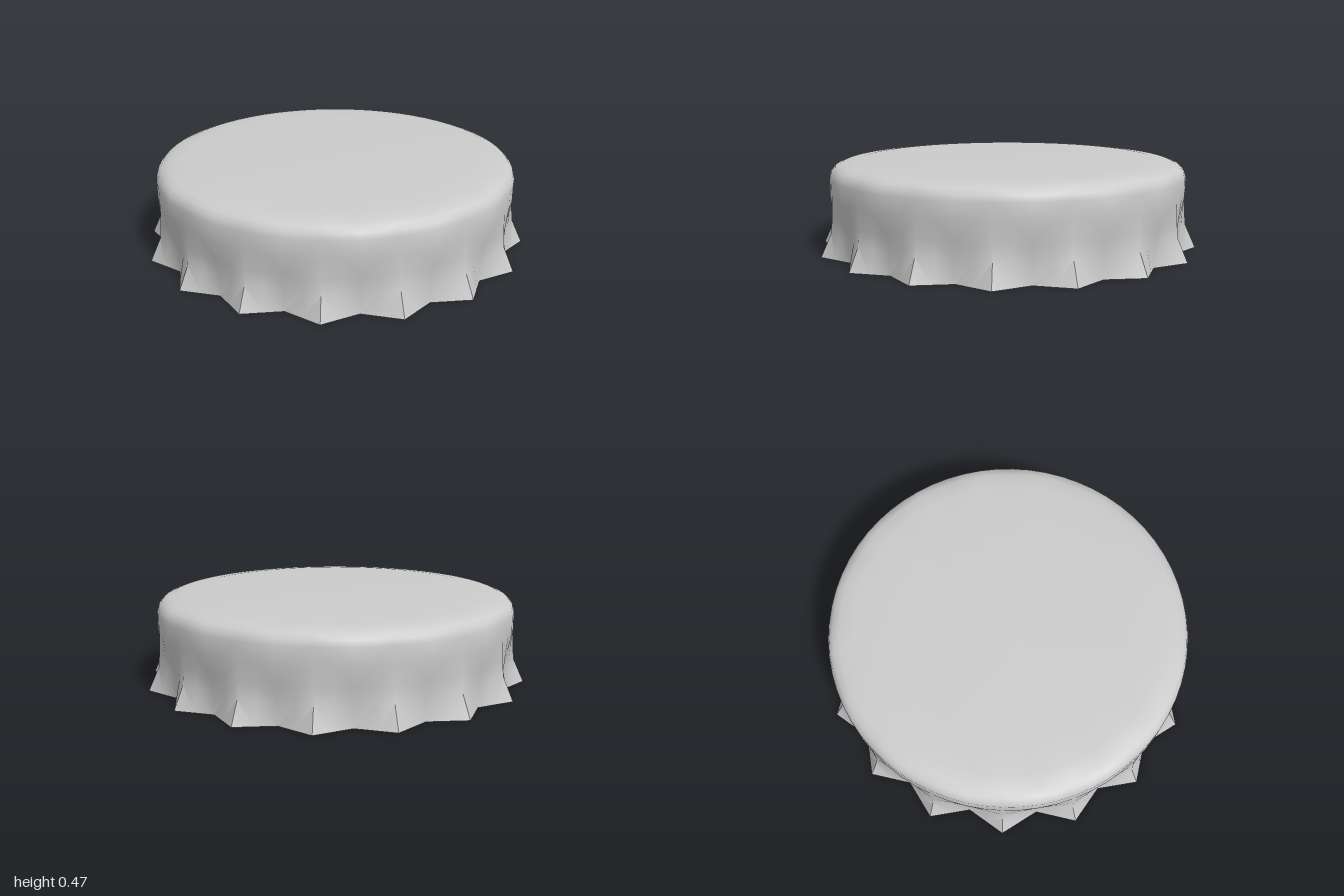
import * as THREE from 'three';
import { toCreasedNormals } from 'three/addons/utils/BufferGeometryUtils.js';

const TEETH = 16;
const COLS = TEETH * 4;

// Rows from the rim upwards: [height, radius on a ridge, radius in a valley]
const ROWS = [
  [0, 1, 0.9],
  [0.12, 0.946, 0.9],
  [0.2, 0.939, 0.917],
  [0.3, 0.936, 0.936],
  [0.39, 0.937, 0.937],
  [0.42, 0.928, 0.928],
  [0.443, 0.907, 0.907],
  [0.457, 0.87, 0.87],
  [0.466, 0.79, 0.79],
  [0.469, 0.6, 0.6],
];

// Point on a row; folded rows run straight from ridge to valley
function rowPoint([y, ridge, valley], col) {
  const step = (Math.PI * 2) / COLS;
  const at = (r, c) => new THREE.Vector3(Math.sin(c * step) * r, y, Math.cos(c * step) * r);
  if (ridge === valley) return at(ridge, col);
  const start = Math.floor(col / 2) * 2;
  const radius = (c) => (c % 4 === 0 ? ridge : valley);
  return at(radius(start), start).lerp(at(radius(start + 2), start + 2), (col - start) / 2);
}

function capGeometry() {
  const positions = [];
  const index = [];
  for (const row of ROWS) {
    for (let c = 0; c < COLS; c++) positions.push(...rowPoint(row, c).toArray());
  }
  const centre = positions.length / 3;
  positions.push(0, 0.47, 0);

  for (let c = 0; c < COLS; c++) {
    const n = (c + 1) % COLS;
    for (let r = 0; r < ROWS.length - 1; r++) {
      const a = r * COLS + c, b = r * COLS + n;
      const d = a + COLS, e = b + COLS;
      // mirror the diagonals on either side of each ridge
      if (c % 4 < 2) index.push(a, b, d, b, e, d);
      else index.push(a, b, e, a, e, d);
    }
    const top = (ROWS.length - 1) * COLS;
    index.push(top + c, top + n, centre);
  }
  const geometry = new THREE.BufferGeometry();
  geometry.setAttribute('position', new THREE.Float32BufferAttribute(positions, 3));
  geometry.setIndex(index);
  // ridges stay sharp, valleys and shoulder stay smooth
  return toCreasedNormals(geometry, 0.77);
}

export function createModel() {
  const metal = new THREE.MeshStandardMaterial({ color: 0xcccccc, side: THREE.DoubleSide });
  metal.name = 'bare metal';

  // Thin open shell: flat top, rounded shoulder and crimped skirt
  const cap = new THREE.Mesh(capGeometry(), metal);
  cap.name = 'crimpedCapShell';

  const group = new THREE.Group();
  group.name = 'bottleCap';
  group.add(cap);
  return group;
}
